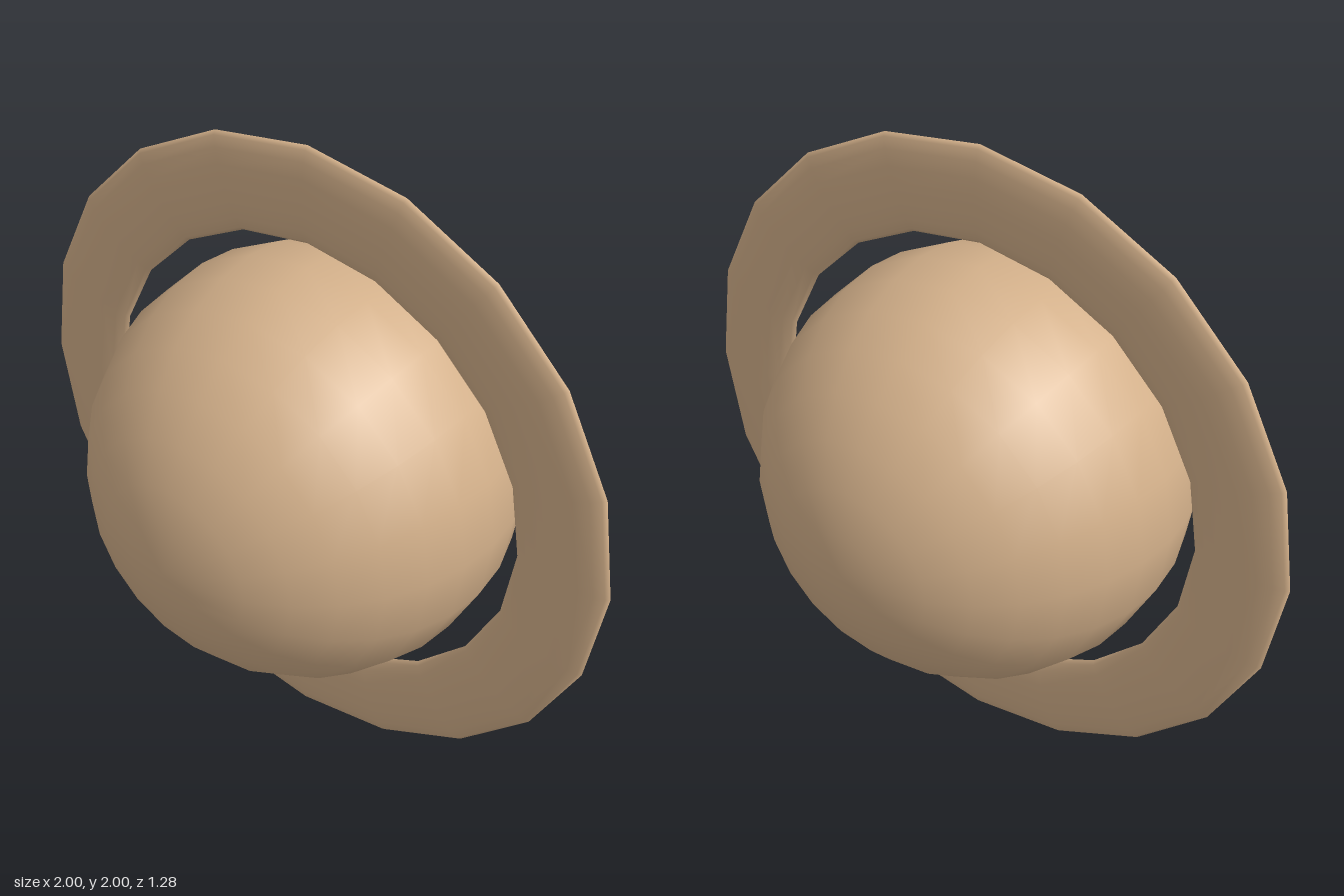
import * as THREE from 'three';

export function createModel() {
  const model = new THREE.Group();
  const tan = new THREE.MeshStandardMaterial({ color: 0xd3b08a });
  tan.name = 'tan';

  const SIDES = 20;
  const OUTER = 1, INNER = 0.715, HALF_DEPTH = 0.027;

  function add(name, geometry) {
    const mesh = new THREE.Mesh(geometry, tan);
    mesh.name = name;
    mesh.position.y = 1;
    model.add(mesh);
  }

  // Planet: smooth ball with its poles on the z axis
  add('planet', new THREE.SphereGeometry(0.64, SIDES, 16).rotateX(Math.PI / 2));

  // Ring: torus squashed along z, so its section is a thin ellipse
  const tube = (OUTER - INNER) / 2;
  const ring = new THREE.TorusGeometry(INNER + tube, tube, 16, SIDES);
  ring.scale(1, 1, HALF_DEPTH / tube); // also corrects the smooth normals
  add('ring', ring);

  return model;
}
